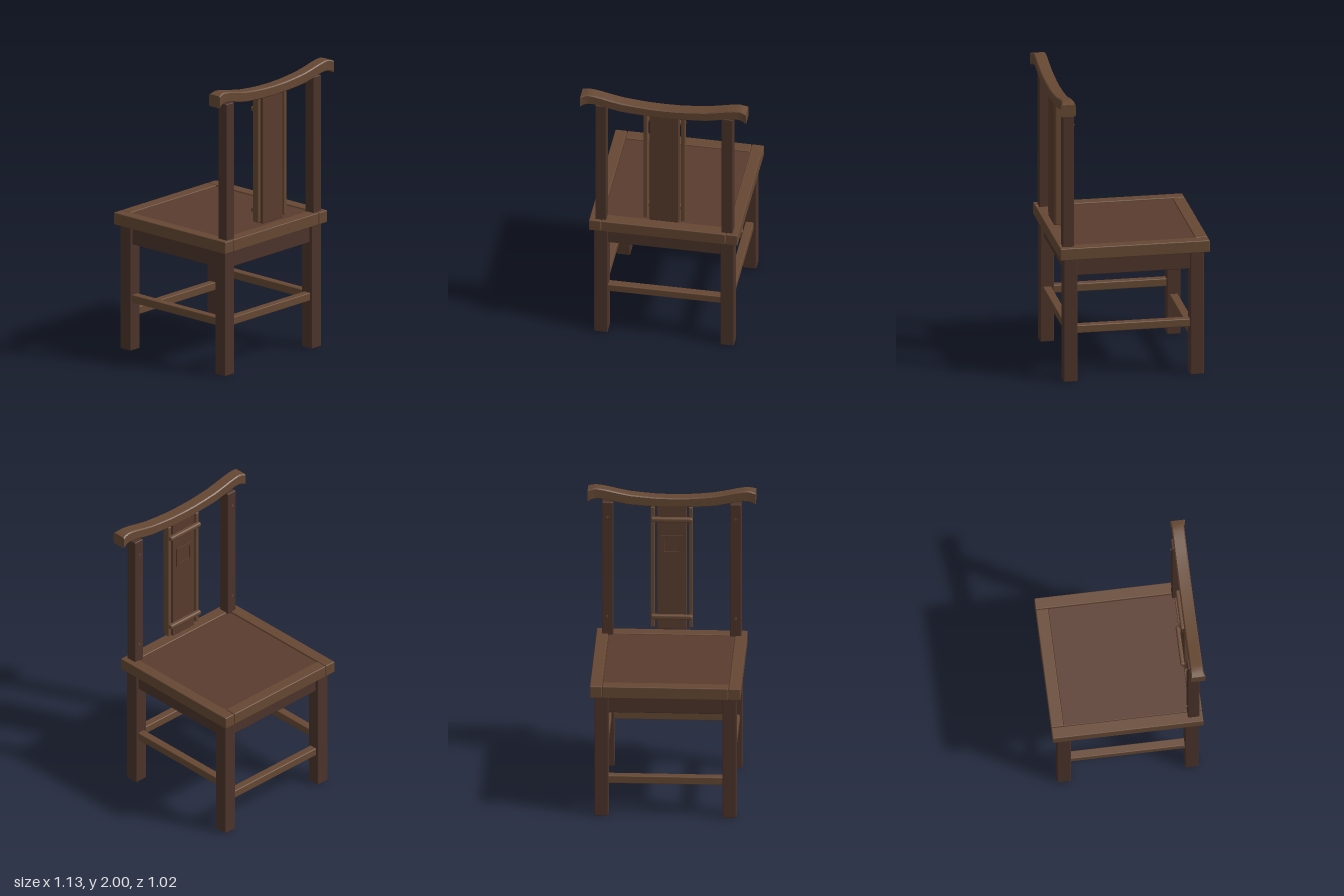
import * as THREE from 'three';
import { toCreasedNormals } from 'three/addons/utils/BufferGeometryUtils.js';
import { RoundedBoxGeometry } from 'three/addons/geometries/RoundedBoxGeometry.js';

const frameWood = new THREE.MeshStandardMaterial({ color: 0x664833 });
const darkWood = new THREE.MeshStandardMaterial({ color: 0x4c342a });
const panelWood = new THREE.MeshStandardMaterial({ color: 0x593c2e });

// Softened box given by its minimum and maximum corners
function block(parent, name, mat, [x0, y0, z0], [x1, y1, z1], r = 0.006) {
  const mesh = new THREE.Mesh(new RoundedBoxGeometry(x1 - x0, y1 - y0, z1 - z0, 2, r), mat);
  mesh.position.set((x0 + x1) / 2, (y0 + y1) / 2, (z0 + z1) / 2);
  mesh.name = name;
  parent.add(mesh);
  return mesh;
}

// Chamfered bar swept along x through stations [x, bottom, top, zMin, zMax]
function crestGeometry(stations, c = 0.007) {
  const pos = [], idx = [], n = 8;
  for (const [x, b, t, p, q] of stations) {
    const ring = [[b, p + c], [b, q - c], [b + c, q], [t - c, q], [t, q - c], [t, p + c], [t - c, p], [b + c, p]];
    for (const [y, z] of ring) pos.push(x, y, z);
  }
  const last = (stations.length - 1) * n;
  for (let s = 0; s < last; s += n) {
    for (let i = 0; i < n; i++) {
      const j = (i + 1) % n;
      idx.push(s + i, s + n + i, s + j, s + j, s + n + i, s + n + j);
    }
  }
  for (let i = 1; i < n - 1; i++) {
    idx.push(0, i, i + 1, last, last + i + 1, last + i);
  }
  const g = new THREE.BufferGeometry();
  g.setAttribute('position', new THREE.Float32BufferAttribute(pos, 3));
  g.setIndex(idx);
  return toCreasedNormals(g, 0.5);
}

export function createModel() {
  const chair = new THREE.Group();
  chair.name = 'chair';

  // Seat frame and sunken panel
  const seat = new THREE.Group();
  seat.name = 'seat';
  chair.add(seat);
  block(seat, 'seatPanel', panelWood, [-0.422, 0.88, -0.432], [0.422, 0.945, 0.42], 0.004);
  block(seat, 'frontSeatRail', frameWood, [-0.422, 0.868, -0.515], [0.422, 0.952, -0.432]);
  block(seat, 'backSeatRail', frameWood, [-0.422, 0.868, 0.418], [0.422, 0.952, 0.502]);

  // Paired sides: seat rails, aprons, stretchers, legs, posts
  for (const s of [-1, 1]) {
    const side = s > 0 ? 'left' : 'right';
    const pair = (name, mat, a, b) =>
      block(chair, side + name, mat,
        [Math.min(s * a[0], s * b[0]), a[1], a[2]], [Math.max(s * a[0], s * b[0]), b[1], b[2]]);
    pair('SeatRail', frameWood, [0.425, 0.868, -0.515], [0.505, 0.952, 0.502]);
    pair('Apron', darkWood, [0.41, 0.742, -0.4], [0.455, 0.868, 0.39]);
    pair('Stretcher', frameWood, [0.402, 0.335, -0.4], [0.458, 0.39, 0.39]);
    pair('FrontLeg', darkWood, [0.383, 0, -0.48], [0.475, 0.87, -0.388]);
    pair('BackLeg', darkWood, [0.383, 0, 0.382], [0.475, 0.87, 0.474]);
    pair('BackPost', darkWood, [0.392, 0.945, 0.402], [0.467, 1.905, 0.48]);
    // Small dowel heads on the post
    for (const y of [1.08, 1.8]) {
      const peg = new THREE.Mesh(new THREE.CylinderGeometry(0.008, 0.008, 0.008, 12), frameWood);
      peg.name = side + 'PostPeg';
      peg.rotation.x = Math.PI / 2;
      peg.position.set(s * 0.43, y, 0.4);
      chair.add(peg);
    }
  }

  // Front and back aprons and stretchers; the front stretcher sits lower
  for (const [name, z, y] of [['front', -0.434, 0.23], ['back', 0.428, 0.335]]) {
    block(chair, name + 'Apron', darkWood, [-0.39, 0.742, z - 0.0225], [0.39, 0.868, z + 0.0225]);
    block(chair, name + 'Stretcher', frameWood, [-0.39, y, z - 0.028], [0.39, y + 0.055, z + 0.028]);
  }

  // Back splat with side strips and cross bars
  const splat = new THREE.Group();
  splat.name = 'backSplat';
  chair.add(splat);
  block(splat, 'splatBoard', panelWood, [-0.1, 0.985, 0.42], [0.1, 1.89, 0.472]);
  for (const s of [-1, 1]) {
    block(splat, 'splatStrip', frameWood, [s * 0.128 - 0.014, 1, 0.42], [s * 0.128 + 0.014, 1.87, 0.468], 0.005);
  }
  for (const y of [1.08, 1.785]) {
    block(splat, 'crossBar', frameWood, [-0.14, y - 0.017, 0.393], [0.14, y + 0.017, 0.428], 0.012);
  }

  // Square ornament frame on the splat
  const square = (P, h) => new P([
    new THREE.Vector2(-h, -h), new THREE.Vector2(h, -h), new THREE.Vector2(h, h), new THREE.Vector2(-h, h),
  ]);
  const border = square(THREE.Shape, 0.07);
  border.holes.push(square(THREE.Path, 0.05));
  const ornament = new THREE.Mesh(
    new THREE.ExtrudeGeometry(border, { depth: 0.012, bevelEnabled: false }), panelWood);
  ornament.name = 'splatOrnament';
  ornament.position.set(0, 1.6, 0.412);
  splat.add(ornament);

  // Curved crest rail with flared ends
  const half = [
    [0.1, 1.873, 1.94, 0.414, 0.498], [0.19, 1.878, 1.947, 0.414, 0.498],
    [0.285, 1.885, 1.957, 0.414, 0.498], [0.36, 1.9, 1.972, 0.414, 0.498],
    [0.43, 1.917, 1.988, 0.414, 0.498], [0.48, 1.924, 1.997, 0.414, 0.498],
    [0.515, 1.923, 2.0, 0.414, 0.498], [0.54, 1.916, 1.994, 0.412, 0.502],
    [0.563, 1.903, 1.987, 0.409, 0.51],
  ];
  const mirrored = half.map(([x, ...rest]) => [-x, ...rest]).reverse();
  const crest = new THREE.Mesh(
    crestGeometry([...mirrored, [0, 1.871, 1.938, 0.414, 0.498], ...half]), frameWood);
  crest.name = 'crestRail';
  chair.add(crest);

  return chair;
}
